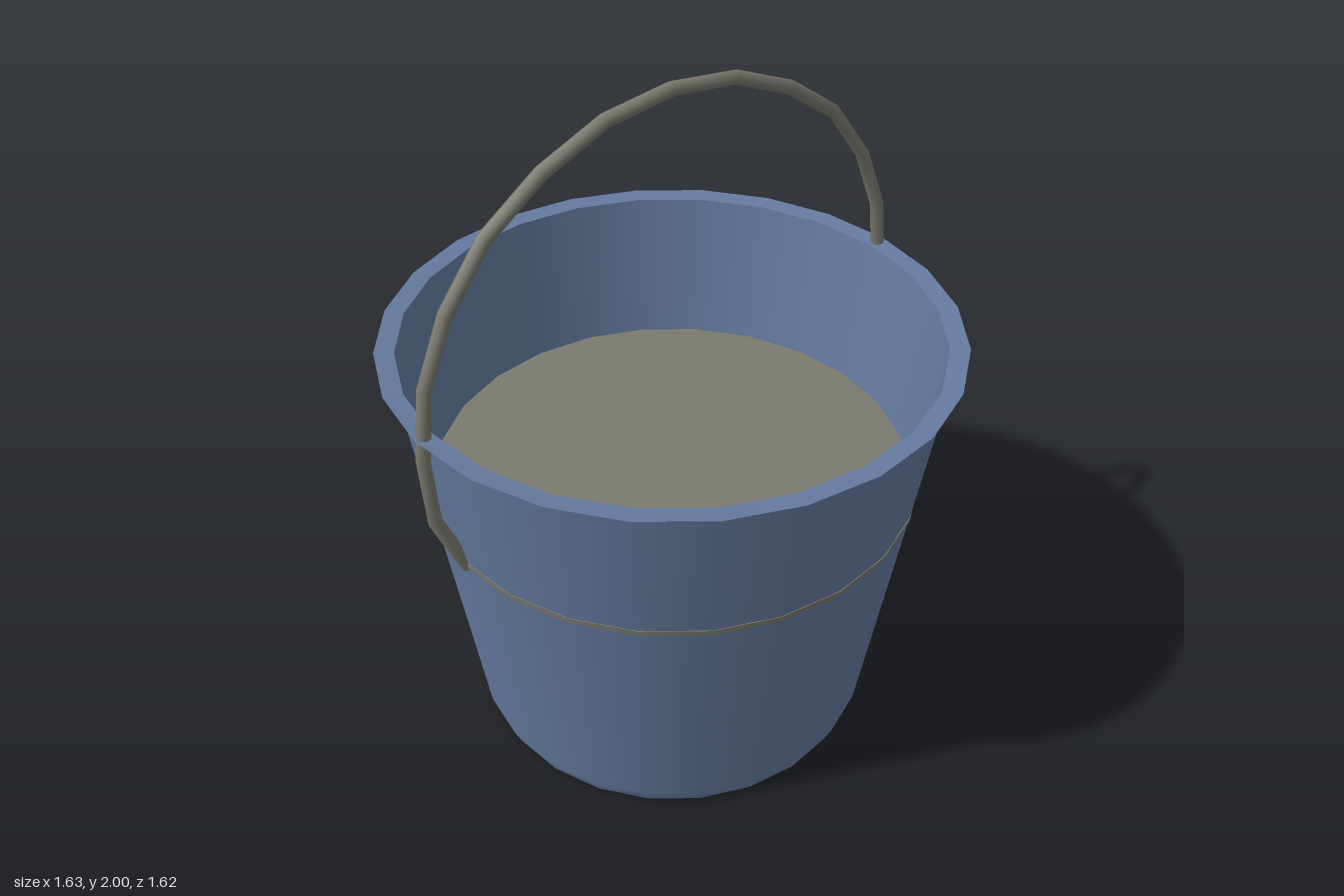
import * as THREE from 'three';

const SIDES = 24;

export function createModel() {
  const group = new THREE.Group();
  group.name = 'bucket';

  const blue = new THREE.MeshStandardMaterial({ color: 0x647a9f });
  blue.name = 'blue paint';
  const grey = new THREE.MeshStandardMaterial({ color: 0x7a7a70 });
  grey.name = 'warm grey';

  const add = (name, geometry, material) => {
    const mesh = new THREE.Mesh(geometry, material);
    mesh.name = name;
    group.add(mesh);
    return mesh;
  };

  // Each band is its own lathe, so the edges between bands stay sharp
  const band = (name, points) =>
    add(name, new THREE.LatheGeometry(points.map(([r, y]) => new THREE.Vector2(r, y)), SIDES), blue);

  band('base', [[0, 0], [0.585, 0]]);
  band('outerWall', [[0.585, 0], [0.606, 0.05], [0.772, 1.235]]);
  band('rimUnderside', [[0.772, 1.235], [0.812, 1.27]]);
  band('rimTop', [[0.812, 1.27], [0.757, 1.265]]);
  band('innerWall', [[0.757, 1.265], [0.575, 0.04]]);
  band('innerFloor', [[0.575, 0.04], [0, 0.04]]);

  // Contents: a disc whose edge shows as a thin line round the outside
  const disc = add('contents', new THREE.CylinderGeometry(0.716, 0.714, 0.018, SIDES), grey);
  disc.position.y = 0.81;

  // Carrying handle, mirrored about its top
  const half = [[0.705, 0.8], [0.78, 0.98], [0.795, 1.19], [0.772, 1.39], [0.69, 1.59],
    [0.565, 1.755], [0.395, 1.875], [0.203, 1.955]];
  const path = [
    ...half.map(([x, y]) => new THREE.Vector3(-x, y, 0)),
    new THREE.Vector3(0, 1.98, 0),
    ...half.map(([x, y]) => new THREE.Vector3(x, y, 0)).reverse(),
  ];
  const curve = new THREE.CatmullRomCurve3(path);
  add('handle', new THREE.TubeGeometry(curve, path.length - 1, 0.02, 8), grey);

  // Closed handle ends
  for (const side of [-1, 1]) {
    const end = add('handleEnd', new THREE.SphereGeometry(0.02, 8, 6), grey);
    end.position.set(side * 0.705, 0.8, 0);
  }

  return group;
}
